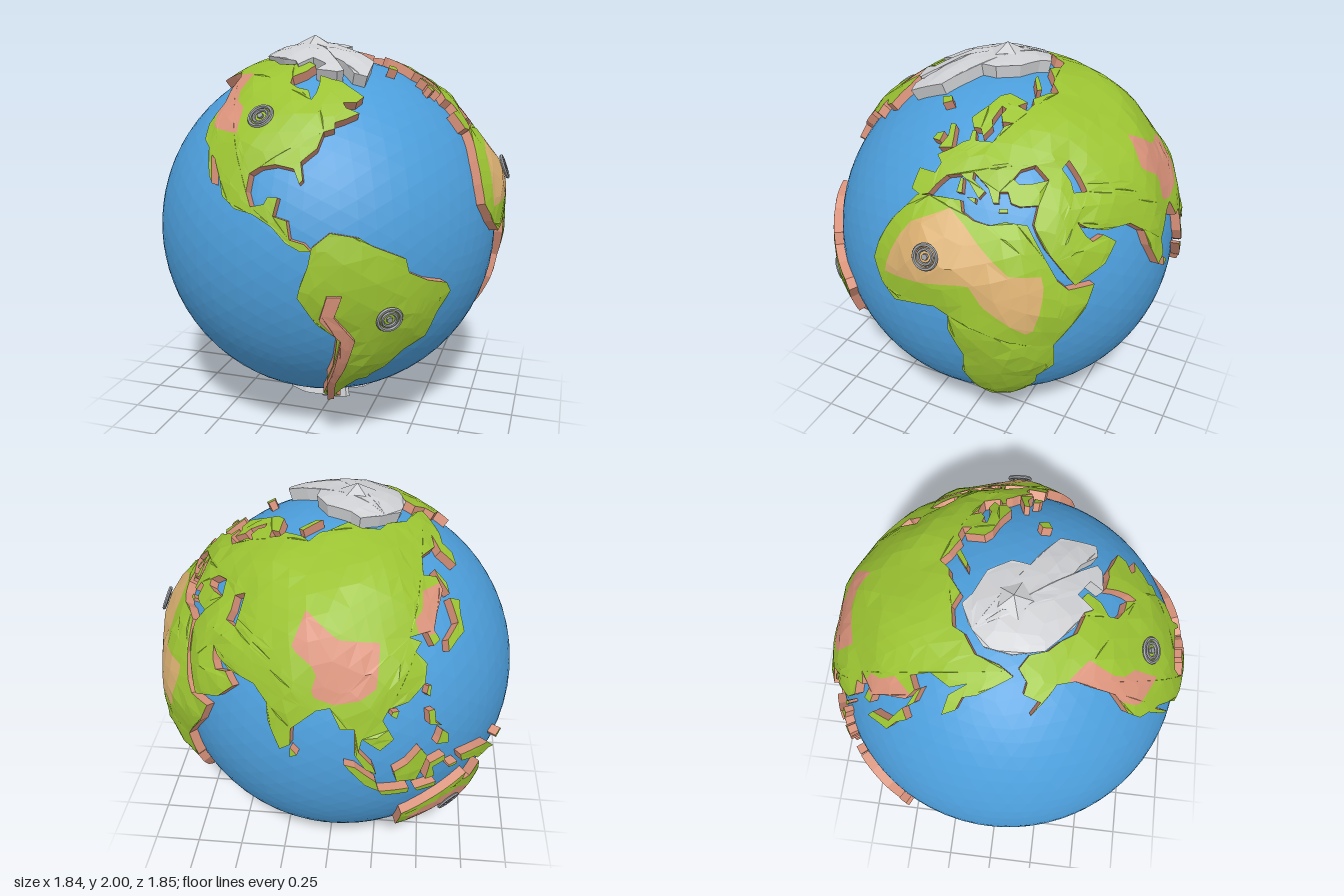
import * as THREE from 'three';

const mat = (name, color) => Object.assign(new THREE.MeshStandardMaterial({ color, flatShading: true }), { name });
const OCEAN = 0.89, CENTER = new THREE.Vector3(-0.04, 1, 0);

// unit direction from longitude and latitude in degrees (longitude -90 faces the front)
function dir(lon, lat) {
  const a = lon * Math.PI / 180, b = lat * Math.PI / 180;
  return new THREE.Vector3(Math.cos(b) * Math.cos(a), Math.sin(b), -Math.cos(b) * Math.sin(a));
}
const pairs = (flat) => Array.from({ length: flat.length / 2 }, (_, i) => [flat[2 * i], flat[2 * i + 1]]);
const coast = (flat) => pairs(flat).map(([lon, lat]) => dir(lon, lat));
// outline on the northern cap given by its x and z seen from above
const capOutline = (flat) => pairs(flat).map(([x, z]) => {
  const u = (x - CENTER.x) / 0.94, w = z / 0.94;
  return new THREE.Vector3(u, Math.sqrt(1 - u * u - w * w), w);
});
const mid = (a, b) => a.clone().add(b).normalize();

// split coast edges so none is longer than the step
function densify(ring, step) {
  const out = [];
  const add = (a, b) => {
    if (a.distanceTo(b) <= step) return out.push(a);
    const m = mid(a, b);
    add(a, m); add(m, b);
  };
  ring.forEach((p, i) => add(p, ring[(i + 1) % ring.length]));
  return out;
}

// whether the direction of v lies in a longitude/latitude polygon
function inside(poly, v) {
  const lon = Math.atan2(-v.z, v.x) * 180 / Math.PI, lat = Math.asin(v.y / v.length()) * 180 / Math.PI;
  let hit = false;
  for (let i = 0, j = poly.length - 1; i < poly.length; j = i++) {
    const [xi, yi] = poly[i], [xj, yj] = poly[j];
    if ((yi > lat) !== (yj > lat) && lon < (xj - xi) * (lat - yi) / (yj - yi) + xi) hit = !hit;
  }
  return hit;
}

function meshOf(name, points, material) {
  const g = new THREE.BufferGeometry().setFromPoints(points);
  g.computeVertexNormals();
  const m = new THREE.Mesh(g, material);
  m.name = name;
  return m;
}

// raised land: faceted domed top over an outline, with upright walls down to the sea
function plate(name, outline, { top, wall, base = 0.045, bulge = 0.02, reach = 0.35, holes = [], regions = [], facet = 0.14 }) {
  const n = outline.reduce((s, p) => s.add(p), new THREE.Vector3()).normalize();
  const e1 = new THREE.Vector3(0.31, 0.2, 0.93).cross(n).normalize(), e2 = n.clone().cross(e1);
  const flat = (p) => new THREE.Vector2(p.dot(e1), p.dot(e2)).divideScalar(p.dot(n));
  const rings = [outline, ...holes].map((r, i) => {
    const d = densify(r, 0.05);
    return THREE.ShapeUtils.isClockWise(d.map(flat)) === (i > 0) ? d : d.reverse();
  });
  const shore = rings.flat();
  const radius = (v) => {
    const d = Math.sqrt(shore.reduce((s, p) => Math.min(s, p.distanceToSquared(v)), 9));
    const bump = Math.sin(11 * v.x + 5 * v.y) * Math.sin(13 * v.z - 7 * v.y + 1) * 0.009;
    return OCEAN + base + bulge * Math.min(d / reach, 1) + bump * Math.min(d / 0.12, 1);
  };
  const lift = (v) => v.clone().multiplyScalar(radius(v));
  const regionOf = (v) => regions.findIndex((r) => inside(r.poly, v)) + 1;
  const buckets = [[], ...regions.map(() => [])];

  // colour one facet, cutting it where a region's border crosses it
  const cut = (p, q) => {
    let lo = 0, hi = 1;
    const home = regionOf(p);
    for (let i = 0; i < 14; i++) {
      const t = (lo + hi) / 2;
      if (regionOf(p.clone().lerp(q, t)) === home) lo = t; else hi = t;
    }
    return p.clone().lerp(q, lo);
  };
  const paint = (corners) => {
    const r = corners.map(regionOf);
    if (r[0] === r[1] && r[1] === r[2]) return buckets[r[0]].push(...corners);
    const i = Math.max(0, [0, 1, 2].findIndex((k) => r[(k + 1) % 3] === r[(k + 2) % 3]));
    const p = corners[i], q = corners[(i + 1) % 3], s = corners[(i + 2) % 3];
    const u = cut(p, q), w = cut(p, s);
    buckets[r[i]].push(p, u, w);
    buckets[r[(i + 1) % 3]].push(u, q, s, u, s, w);
  };
  // halve the longest edge until the facet is small enough
  const emit = (a, b, c) => {
    const [p, q, s] = [[a, b, c], [b, c, a], [c, a, b]].reduce((x, y) => (y[0].distanceTo(y[1]) > x[0].distanceTo(x[1]) ? y : x));
    if (p.distanceTo(q) <= facet) return paint([a, b, c].map(lift));
    const m = mid(p, q);
    emit(p, m, s); emit(m, q, s);
  };
  const [contour, ...cuts] = rings.map((r) => r.map(flat));
  for (const [i, j, k] of THREE.ShapeUtils.triangulateShape(contour, cuts)) {
    const [a, b, c] = [shore[i], shore[j], shore[k]];
    const ccw = flat(b).sub(flat(a)).cross(flat(c).sub(flat(a))) > 0;
    if (ccw) emit(a, b, c); else emit(a, c, b);
  }
  const walls = [];
  const foot = (v) => v.clone().multiplyScalar(OCEAN - 0.01);
  for (const r of rings) r.forEach((a, i) => {
    const b = r[(i + 1) % r.length];
    walls.push(foot(a), foot(b), lift(b), foot(a), lift(b), lift(a));
  });
  const group = new THREE.Group();
  group.name = name;
  [{ name: 'landTop', material: top }, ...regions].forEach((r, i) => {
    if (buckets[i].length) group.add(meshOf(r.name, buckets[i], r.material));
  });
  group.add(meshOf('cliffs', walls, wall));
  group.userData.radius = radius;
  return group;
}

export function createModel() {
  const sea = mat('ocean blue', 0x4c9edb), green = mat('grass green', 0x9bc332), clay = mat('clay', 0xd9927a);
  const sand = mat('sand', 0xd8ae70), ice = mat('ice', 0xcfd0d3), steel = mat('steel grey', 0x9a9ca0);
  const model = new THREE.Group(), globe = new THREE.Group();
  globe.name = 'globe';
  globe.position.copy(CENTER);
  model.add(globe);
  const ocean = new THREE.Mesh(new THREE.IcosahedronGeometry(OCEAN, 11), sea);
  ocean.name = 'ocean';
  globe.add(ocean);
  const land = (name, outline, o = {}) => {
    const p = plate(name, outline, { top: green, wall: clay, ...o });
    globe.add(p);
    return p;
  };
  const region = (name, material, f) => ({ name, material, poly: pairs(f) });

  // continents
  const north = land('northWestContinent', coast([-166, 68, -156, 71, -141, 70, -128, 70, -115, 68, -100, 68, -92, 71, -82, 68, -87, 64,
    -94, 61, -93, 58, -88, 56, -82, 55, -80, 51, -78, 54, -77, 58, -77, 62, -70, 60, -65, 59, -61, 56, -56, 52, -60, 50, -66, 50, -65, 48,
    -60, 46, -66, 44, -70, 43, -70, 41, -74, 40, -76, 35, -81, 31, -80, 26, -81, 25, -83, 29, -89, 30, -94, 29, -97, 27, -97, 22,
    -95, 18, -91, 19, -90, 21, -87, 21, -88, 16, -84, 15, -83, 10, -79, 9, -77, 7, -80, 7, -84, 9, -88, 13, -94, 16, -100, 17,
    -105, 20, -107, 24, -112, 30, -114, 31, -110, 23, -112, 25, -117, 33, -121, 35, -124, 40, -124, 48, -130, 54, -136, 59, -146, 61,
    -152, 59, -163, 55, -157, 58, -165, 61, -162, 64]), {
    regions: [region('westernMountains', clay, [-140, 61, -123, 61, -118, 50, -110, 47, -106, 38, -119, 39, -124, 45, -126, 50, -131, 55])],
  });
  const south = land('southWestContinent', coast([-77, 8, -72, 12, -64, 10.5, -60, 8, -51, 4, -50, 0, -44, -3, -37, -5, -35, -8, -39, -14,
    -41, -22, -48, -26, -53, -33, -57, -36, -58, -38, -62, -39, -65, -43, -67, -46, -69, -51, -66, -55, -72, -54, -75, -50, -73, -42,
    -73, -37, -71, -30, -70, -19, -76, -14, -81, -6, -80, -2, -78, 3]), { bulge: 0.03 });
  land('southWestRidge', coast([-73, -5, -69, -5, -71, -11, -65, -19, -67, -29, -70, -38, -70, -52, -73, -52, -73, -39, -70.5, -29,
    -69, -19, -75, -12]), { top: clay, base: 0.07, bulge: 0 });
  const africa = land('southernContinent', coast([-6, 36, 3, 37, 10, 37, 11, 34, 15, 32, 20, 31, 25, 32, 32, 31, 34, 27, 37, 21, 40, 15,
    43, 12, 51, 12, 48, 5, 43, -1, 39, -6, 40, -15, 35, -20, 35, -24, 32, -29, 27, -34, 20, -35, 18, -32, 15, -27, 12, -18, 13, -10,
    9, -1, 9, 4, 5, 6, -3, 5, -8, 4, -13, 8, -17, 14, -16, 20, -13, 27, -9, 32]), {
    bulge: 0.05, reach: 0.27,
    regions: [region('desert', sand, [-12, 12, -10, 19, -6, 28, 8, 35, 18, 25, 26, 18, 36, 17, 35, 9, 32, 0, 19, 9, 15, 15, 1, 13])],
  });
  const europe = [-9, 37, -9, 43, -2, 43, -1, 46, -4, 48, 2, 51, 5, 53, 8, 54, 8, 57, 10, 57, 11, 54, 19, 54, 22, 57, 24, 59, 29, 60, 23, 60.5,
    22, 63, 25, 65, 22, 66, 17, 61, 18, 59, 14, 55.5, 12, 58, 8, 58, 5, 61, 13, 66, 20, 70, 28, 71, 40, 67, 33, 66, 38, 64, 44, 66, 45, 68];
  const farEast = [60, 69, 68, 68, 73, 72, 80, 73, 100, 77, 113, 74, 130, 72, 142, 73, 160, 70, 180, 69, 190, 66, 178, 63, 170, 60, 163, 58,
    162, 54, 157, 51, 156, 57, 163, 62, 155, 59, 142, 59, 135, 54, 141, 52, 140, 48, 132, 43, 128, 39, 129, 36, 126, 35, 125, 39, 118, 39,
    122, 37, 119, 35, 122, 31, 120, 26, 114, 22, 108, 21, 106, 18, 109, 12, 105, 9, 100, 13];
  const southCoast = [99, 9, 103, 4, 104, 1, 101, 3, 98, 8, 98, 16, 94, 16, 91, 22, 87, 21, 80, 15, 80, 10, 77, 8, 73, 16, 72, 21, 67, 25,
    57, 26, 51, 28, 48, 30, 50, 26, 52, 24, 56, 25, 60, 22, 55, 17, 45, 13, 42, 17, 37, 24, 35, 28, 34, 31, 36, 36, 30, 36, 27, 37, 26, 40,
    23, 40, 23, 37, 21, 37, 19, 41, 13, 45, 13, 43, 18, 40, 16, 38, 12, 42, 8, 44, 3, 43, 0, 40, -2, 37, -5, 36];
  land('easternContinent', [europe, farEast, southCoast].flatMap(coast), {
    bulge: 0.05, reach: 0.4,
    holes: [coast([28, 43.5, 31, 46, 37, 47, 41, 42.5, 35, 42, 30, 42]), coast([47, 45, 51, 47, 53, 42, 54, 37.5, 49, 38, 49, 41])],
    regions: [
      region('highPlateau', clay, [104, 25, 92, 23, 85, 25, 87, 32, 78, 37, 81, 47, 93, 40, 107, 39]),
      region('coastalMountains', clay, [118, 41, 124, 38, 130, 38, 145, 46, 142, 50, 130, 50, 126, 45]),
    ],
  });
  const australia = land('southEastContinent', coast([114, -22, 122, -18, 129, -15, 136, -12, 136, -16, 140, -17, 142, -11, 146, -19,
    153, -26, 150, -37, 145, -39, 139, -35, 135, -33, 131, -31, 124, -33, 115, -34]), {
    bulge: 0.04, reach: 0.25,
    regions: [region('redDesert', clay, [117, -24, 124, -20, 134, -18, 141, -22, 138, -30, 129, -29, 118, -31])],
  });

  // islands
  const islands = {
    britain: [-5, 50, 1, 51, 0, 54, -2, 58, -5, 58, -3, 54], ireland: [-10, 52, -6, 52, -6, 55, -9, 54],
    iceland: [-24, 65, -19, 63, -14, 65, -18, 66.5], midSeaWest: [8, 39, 10, 39, 9.5, 43, 8.5, 43], midSeaSouth: [12, 38, 15, 38, 15, 36.5],
    midSeaEast: [23, 35.5, 26, 35.5, 26, 34.5, 23, 34.5], arcticArc: [52, 71, 57, 71, 68, 77, 60, 76],
    easternArc: [131, 32, 136, 34, 140, 35, 142, 40, 145, 43, 141, 45, 139, 38, 132, 35], northEasternBar: [142, 46, 144, 49, 143, 54, 142, 52],
    smallEast: [120, 23, 121, 22, 122, 25, 121, 25], smallSouth: [80, 9, 82, 7, 80, 6], hookIsle: [108.5, 19, 110, 18, 111, 20, 109, 20],
    archipelagoNorth: [120, 18, 122, 18, 122, 14, 124, 12.5, 120, 14], archipelagoSouth: [122, 7, 126, 6, 126, 9, 124, 11, 123, 8.5],
    equatorIsle: [109, 1, 113, 3, 117, 7, 119, 4, 116, -4, 110, -3], equatorWest: [95, 5, 98, 4, 104, -2, 105, -6, 101, -3],
    equatorSouth: [105, -6, 114, -7, 114, -9, 106, -8], lesserSouth: [116, -8, 123, -8, 123, -10, 117, -9.5],
    equatorEast: [119, -5, 120, 1, 125, 2, 125, 0, 121, -1, 122, -5], spiceIsle: [127, -3, 130, -3, 130, -4, 127, -4],
    tropicIsle: [131, -1, 137, -2, 144, -4, 150, -10, 146, -8, 140, -8, 138, -6, 132, -4], tropicReef: [149, -5, 152, -4, 153, -5, 150, -6.5],
  };
  for (const [name, f] of Object.entries(islands)) land(name, coast(f), { bulge: 0 });
  land('southPacificIsles', coast([173, -35, 178, -38, 175, -41, 170, -46, 167, -46, 172, -41]), { wall: green, bulge: 0, base: 0.05 });

  // polar ice
  land('northIce', capOutline([-0.13, -0.19, -0.085, -0.15, 0.03, -0.1, 0.09, 0, 0.08, 0.08, 0.155, 0.125, 0.255, 0.2, 0.265, 0.365,
    0.205, 0.375, 0.13, 0.3, 0.08, 0.275, 0.155, 0.375, 0.13, 0.4, 0.03, 0.41, 0.06, 0.35, -0.02, 0.3, -0.07, 0.375, -0.095, 0.335,
    -0.17, 0.3, -0.295, 0.185, -0.33, 0.05, -0.31, -0.075, -0.22, -0.15]), { top: ice, wall: ice, base: 0.06, bulge: 0.025, reach: 0.2 });
  land('southIce', coast([-60, -63, -57, -64, -61, -71, -60, -76, -40, -78, -25, -74, 0, -70, 25, -70, 50, -67, 70, -69, 90, -67, 115, -67,
    140, -67, 165, -71, 165, -78, -160, -78, -150, -77, -125, -74, -100, -73, -80, -73, -68, -70, -66, -66]), {
    top: ice, wall: ice, reach: 0.2 });
  const northPeak = new THREE.Mesh(new THREE.ConeGeometry(0.1, 0.05, 5), ice);
  northPeak.name = 'northPeak';
  northPeak.position.set(-0.06, 0.975, 0.03);
  const southMesa = new THREE.Mesh(new THREE.CylinderGeometry(0.16, 0.09, 0.06, 5), ice);
  southMesa.name = 'southMesa';
  southMesa.position.set(0, -0.97, 0);
  globe.add(northPeak, southMesa);

  // round ringed markers on four continents
  for (const [ground, lon, lat] of [[north, -99, 44], [south, -55.5, -12.7], [africa, 3, 21], [australia, 133, -25]]) {
    const d = dir(lon, lat), marker = new THREE.Group();
    marker.name = 'marker';
    marker.add(new THREE.Mesh(new THREE.TorusGeometry(0.055, 0.009, 6, 28), steel));
    marker.add(new THREE.Mesh(new THREE.TorusGeometry(0.034, 0.008, 6, 20), steel));
    marker.add(new THREE.Mesh(new THREE.CylinderGeometry(0.015, 0.015, 0.016, 6).rotateX(Math.PI / 2), steel));
    marker.position.copy(d).multiplyScalar(ground.userData.radius(d) + 0.003);
    marker.quaternion.setFromUnitVectors(new THREE.Vector3(0, 0, 1), d);
    globe.add(marker);
  }
  return model;
}
